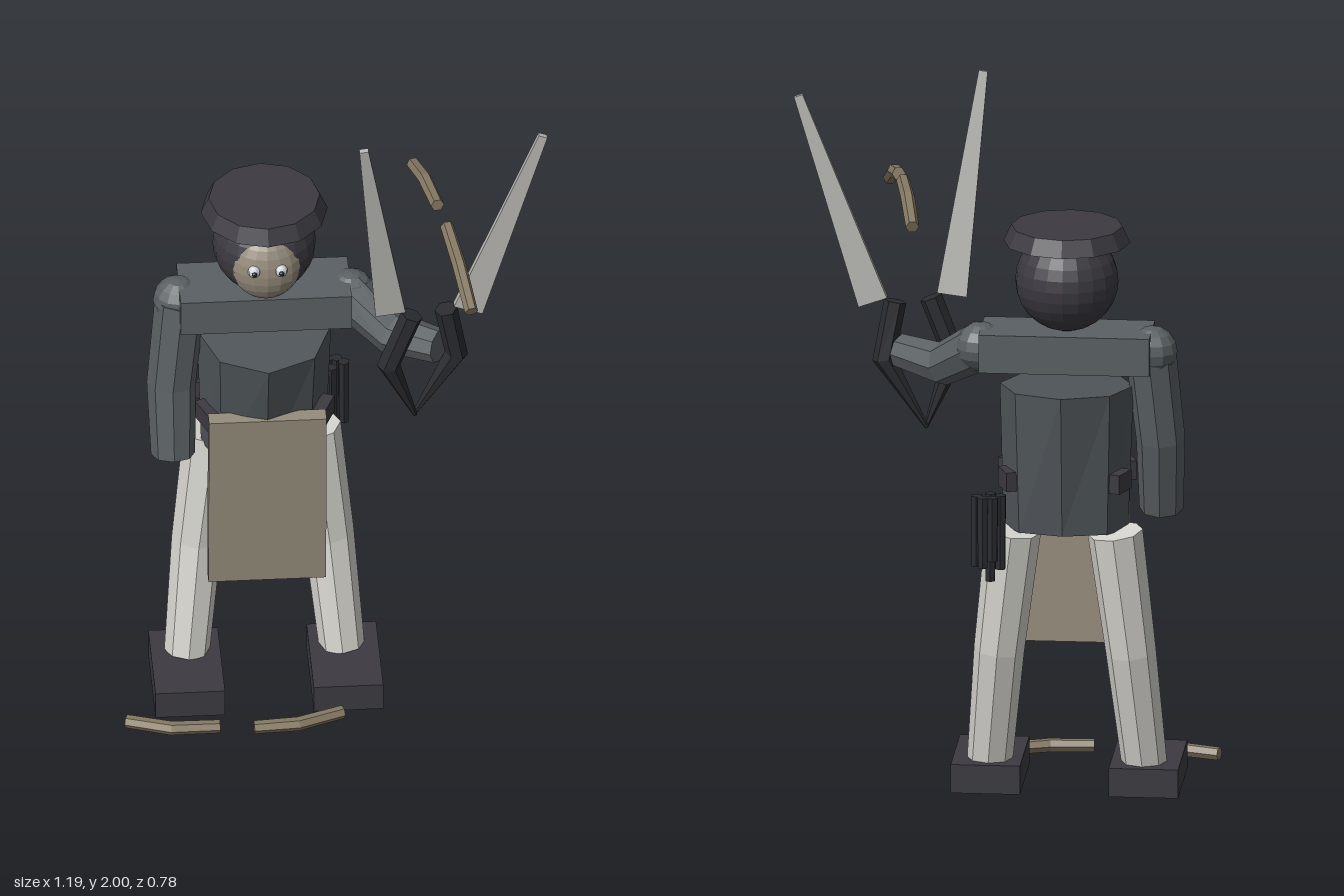
import * as THREE from 'three';

const mat = (name, color, extra = {}) => {
  const m = new THREE.MeshStandardMaterial({ color, flatShading: true, ...extra });
  m.name = name;
  return m;
};

export function createModel() {
  const model = new THREE.Group();
  model.name = 'swordShearsFigure';
  const dark = mat('charcoal', 0x3c3a41);
  const coat = mat('coatGrey', 0x5a6063);
  const vest = mat('vestGrey', 0x50565a);
  const white = mat('trouserWhite', 0xd6d5cf);
  const tan = mat('apronTan', 0x948b7b);
  const wood = mat('shavingBrown', 0x857962);
  const steel = mat('bladeSteel', 0xb9b8b4);
  const iron = mat('handleIron', 0x2b2c30);
  const eyeWhite = mat('eyeWhite', 0xd0d4d8);
  const CX = -0.19; // body centre line

  const add = (name, geo, material, pos = [0, 0, 0], rot = [0, 0, 0]) => {
    const mesh = new THREE.Mesh(geo, material);
    mesh.name = name;
    mesh.position.set(...pos);
    mesh.rotation.set(...rot);
    model.add(mesh);
    return mesh;
  };
  const box = (name, size, pos, material, rot) => add(name, new THREE.BoxGeometry(...size), material, pos, rot);
  const ball = (name, r, pos, material, w = 12, h = 8) => add(name, new THREE.SphereGeometry(r, w, h), material, pos);

  // Capped faceted tube through points; each radius is a number or [wide, deep]
  const limb = (name, points, radii, sides, material, ref = [0, 0, 1], phase = 0) => {
    const P = points.map((p) => new THREE.Vector3(...p));
    const R = new THREE.Vector3(...ref);
    const pos = [], idx = [];
    P.forEach((p, i) => {
      const t = new THREE.Vector3();
      if (i > 0) t.add(p.clone().sub(P[i - 1]).normalize());
      if (i < P.length - 1) t.add(P[i + 1].clone().sub(p).normalize());
      t.normalize();
      const u = R.clone().cross(t).normalize();
      const v = t.clone().cross(u);
      const [a, b] = [radii[i]].flat().length === 2 ? radii[i] : [radii[i], radii[i]];
      for (let j = 0; j < sides; j++) {
        const q = phase + (j / sides) * Math.PI * 2;
        const c = p.clone().addScaledVector(u, a * Math.cos(q)).addScaledVector(v, b * Math.sin(q));
        pos.push(c.x, c.y, c.z);
      }
    });
    const last = (P.length - 1) * sides;
    for (let j = 0; j < sides; j++) {
      const k = (j + 1) % sides;
      for (let i = 0; i < last; i += sides) {
        idx.push(i + j, i + k, i + sides + k, i + j, i + sides + k, i + sides + j);
      }
      if (j > 0 && j < sides - 1) idx.push(0, j + 1, j, last, last + j, last + j + 1);
    }
    let geo = new THREE.BufferGeometry();
    geo.setAttribute('position', new THREE.Float32BufferAttribute(pos, 3));
    geo.setIndex(idx);
    geo = geo.toNonIndexed();
    geo.computeVertexNormals();
    return add(name, geo, material);
  };

  // Head, face and flat cap
  ball('head', 0.145, [CX, 1.483, -0.155], dark, 20, 14);
  ball('face', 1, [CX, 1.468, -0.07], tan, 16, 12).scale.set(0.1, 0.11, 0.074);
  add('cap', new THREE.CylinderGeometry(0.156, 0.178, 0.047, 12), dark, [CX, 1.617, -0.152]);
  for (const s of [-1, 1]) {
    ball('eye', 0.018, [CX + s * 0.038, 1.488, -0.006], eyeWhite, 10, 8);
    ball('pupil', 0.008, [CX + s * 0.038, 1.488, 0.009], iron, 8, 6);
  }

  // Torso and shoulder yoke
  limb('torso', [[CX, 0.77, -0.185], [CX, 1.178, -0.158]], [[0.175, 0.128], [0.188, 0.199]], 8, vest);
  box('shoulderYoke', [0.48, 0.11, 0.19], [CX, 1.288, -0.16], coat);
  box('apron', [0.33, 0.57, 0.045], [CX, 0.685, -0.035], tan, [0.045, 0, 0]);

  // Paired parts: shoulders, legs, boots, belt pouches
  for (const s of [-1, 1]) {
    const X = (d) => CX + s * d;
    ball('shoulder', 0.07, [X(0.242), 1.285, -0.165], coat);
    limb('leg',
      [[X(0.217), 0.075, -0.147], [X(0.185), 0.42, -0.212], [X(0.143), 0.775, -0.237]],
      [0.064, 0.071, 0.078], 8, white);
    box('boot', [0.195, 0.083, 0.3], [X(0.222), 0.0415, -0.086], dark);
    box('frontPouch', [0.05, 0.055, 0.09], [X(0.155), 0.925, -0.1], dark, [0, -s * 0.4, 0]);
    box('rearPouch', [0.05, 0.055, 0.075], [X(0.15), 0.925, -0.245], dark, [0, s * 0.4, 0]);
  }

  // Arms: one hanging, one raised
  limb('hangingArm', [[-0.45, 0.805, -0.09], [-0.452, 1.02, -0.135], [-0.425, 1.29, -0.16]],
    [0.062, 0.069, 0.072], 8, coat);
  limb('raisedArm', [[0.045, 1.29, -0.165], [0.165, 1.205, -0.075], [0.29, 1.215, 0.01]],
    [0.07, 0.062, 0.05], 8, coat, [0, 1, 0]);

  // Giant shears: bent handles meeting at a point, and two tapered blades
  limb('shearHandle', [[0.222, 0.99, 0.025], [0.145, 1.19, 0.055], [0.21, 1.36, 0.055]],
    [0.006, 0.033, 0.032], 6, iron);
  limb('shearHandle', [[0.218, 0.99, 0.02], [0.338, 1.19, 0.01], [0.308, 1.355, 0.025]],
    [0.006, 0.033, 0.032], 6, iron);
  const q = Math.PI / 4;
  limb('shearBlade', [[0.15, 1.37, 0.05], [0.07, 2.0, 0.138]], [[0.06, 0.016], [0.018, 0.011]], 4, steel, [0, 0, 1], q);
  limb('shearBlade', [[0.37, 1.352, 0.022], [0.58, 1.947, 0.028]], [[0.06, 0.016], [0.018, 0.011]], 4, steel, [0, 0, 1], q);

  // Bundle of tools hanging at the back of the hip
  [[-0.02, -0.345, 0.69], [0, -0.371, 0.72], [0.027, -0.374, 0.7], [0.047, -0.354, 0.7], [0.01, -0.328, 0.65]]
    .forEach(([x, z, low]) => {
      const h = 0.905 - low;
      add('hipTool', new THREE.CylinderGeometry(0.017, 0.015, h, 6), iron, [x, low + h / 2, z]);
    });

  // Curved shavings: two on the ground, two in the air
  [
    [[-0.595, 0.03, 0.115], [-0.47, 0.03, 0.157], [-0.335, 0.03, 0.157]],
    [[-0.24, 0.03, 0.168], [-0.115, 0.03, 0.16], [0.013, 0.03, 0.112]],
    [[0.235, 1.655, -0.257], [0.26, 1.7, -0.12], [0.285, 1.71, 0.017]],
    [[0.305, 1.703, 0.105], [0.33, 1.67, 0.245], [0.355, 1.608, 0.385]],
  ].forEach((p) => limb('shaving', p, [0.019, 0.02, 0.019], 6, wood, [0, 1, 0]));

  return model;
}
